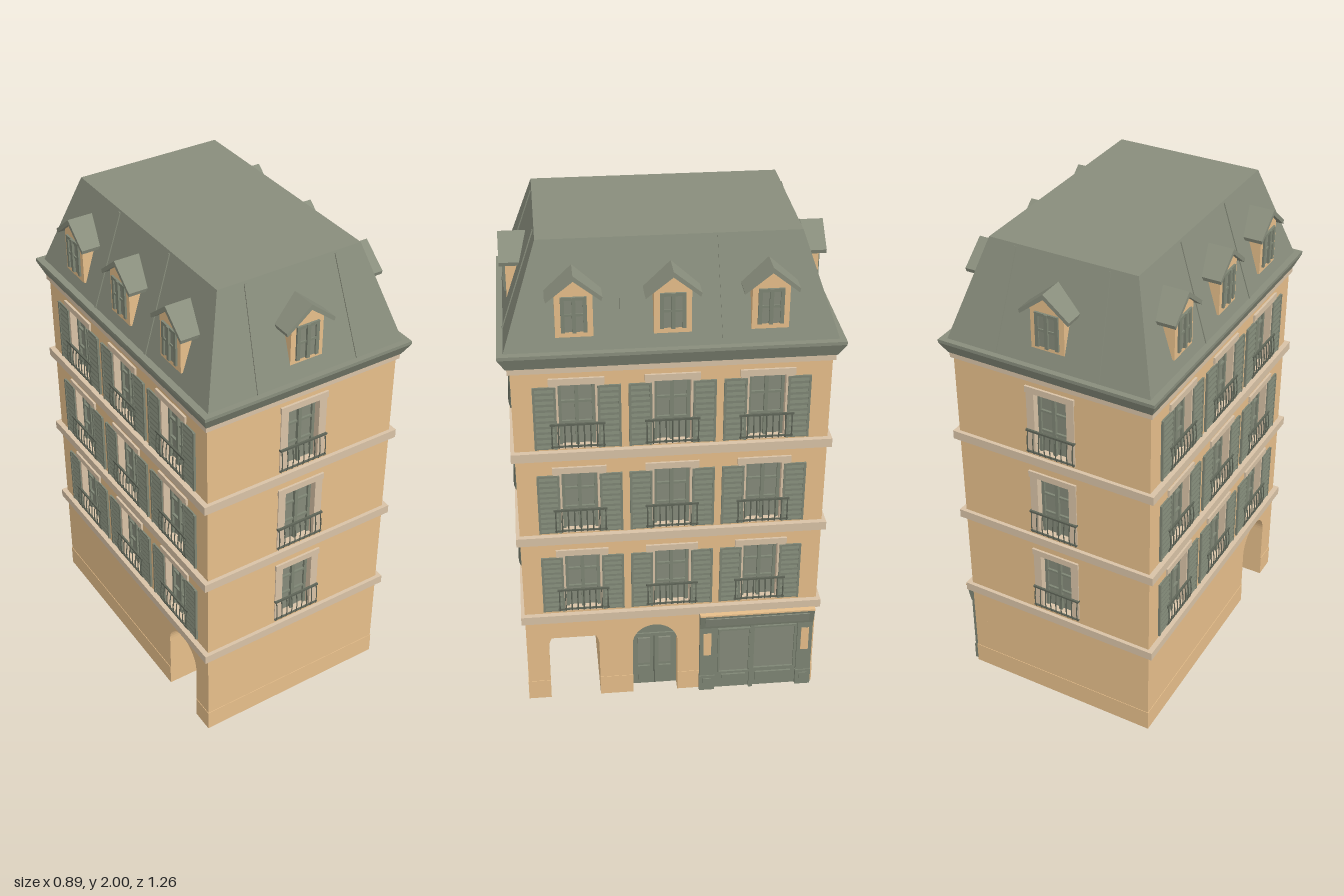
import * as THREE from 'three';

const mat = (name, color) => {
  const m = new THREE.MeshStandardMaterial({ color });
  m.name = name;
  return m;
};

export function createModel() {
  const wall = mat('ochre plaster', 0xe6be8a);
  const stone = mat('pale stone', 0xd8c2a6);
  const zinc = mat('zinc roof', 0x888d7c);
  const green = mat('grey green paint', 0x7e8574);
  const glass = mat('window glass', 0x858a7a);
  const iron = mat('dark iron', 0x5f6558);

  const root = new THREE.Group();
  root.name = 'townhouse';
  const HX = 0.41, HZ = 0.59, SKIN = 0.04, GROUND = 0.42, TOP = 1.56;
  const floors = [0.45, 0.83, 1.21];      // window sill heights
  const WIN_W = 0.07, WIN_H = 0.27;       // half width and height of a window

  const addMesh = (parent, name, geo, m, x = 0, y = 0, z = 0) => {
    const mesh = new THREE.Mesh(geo, m);
    mesh.name = name;
    mesh.position.set(x, y, z);
    parent.add(mesh);
    return mesh;
  };
  const box = (parent, name, m, w, h, d, x, y, z) =>
    addMesh(parent, name, new THREE.BoxGeometry(w, h, d), m, x, y, z);
  const poly = pts => new THREE.Shape(pts.map(p => new THREE.Vector2(...p)));
  const rect = (x0, y0, x1, y1) => [[x0, y0], [x1, y0], [x1, y1], [x0, y1]];
  const extrude = (shape, depth) =>
    new THREE.ExtrudeGeometry(shape, { depth, bevelEnabled: false, curveSegments: 12 });
  // rectangular block whose top and bottom differ in size
  const frustum = (name, m, y0, x0, z0, y1, x1, z1) => {
    const g = new THREE.BoxGeometry(2, y1 - y0, 2), p = g.attributes.position;
    for (let i = 0; i < p.count; i++) {
      const up = p.getY(i) > 0;
      p.setX(i, p.getX(i) * (up ? x1 : x0));
      p.setZ(i, p.getZ(i) * (up ? z1 : z0));
    }
    g.computeVertexNormals();
    return addMesh(root, name, g, m, 0, (y0 + y1) / 2, 0);
  };
  // facade frame: local x along the wall, local z outwards
  const facade = (name, turn) => {
    const g = new THREE.Group();
    g.name = name;
    g.rotation.y = turn;
    root.add(g);
    return g;
  };

  // ---- inner core with the carriage passage left open
  const midH = TOP - GROUND;
  box(root, 'upperCore', wall, 2 * (HX - SKIN), midH, 2 * (HZ - SKIN), 0, GROUND + midH / 2, 0);
  const cx = 0.70;
  box(root, 'groundCore', wall, cx, GROUND, 0.885, 0, GROUND / 2, -0.1475);
  box(root, 'passageFrontWall', wall, cx, GROUND, 0.09, 0, GROUND / 2, 0.545);
  box(root, 'passageCeiling', wall, cx, 0.16, 0.205, 0, 0.34, 0.3975);

  // ---- shared railing parts
  const barGeo = new THREE.TubeGeometry(new THREE.QuadraticBezierCurve3(
    new THREE.Vector3(0, 0, 0), new THREE.Vector3(0, 0.03, 0.014), new THREE.Vector3(0, 0.1, 0)), 5, 0.0026, 4);
  function balcony(parent, x, y, z) {
    const g = new THREE.Group();
    g.name = 'balconyRailing';
    g.position.set(x, y, z);
    parent.add(g);
    for (let i = 0; i < 9; i++) addMesh(g, 'railingBar', barGeo, iron, -0.096 + i * 0.024, 0.004, 0.008);
    box(g, 'topRail', iron, 0.205, 0.008, 0.008, 0, 0.106, 0.009);
    box(g, 'bottomRail', iron, 0.205, 0.006, 0.006, 0, 0.012, 0.009);
    for (const s of [-1, 1]) box(g, 'railReturn', iron, 0.006, 0.007, 0.012, s * 0.1, 0.106, 0.005);
  }

  // ---- casement: glass, frame and glazing bars, sill at y, back at z
  function casement(parent, x, y, z, hw, h, transoms) {
    const g = new THREE.Group();
    g.name = 'casement';
    g.position.set(x, y, z);
    parent.add(g);
    box(g, 'glass', glass, 2 * hw, h, 0.006, 0, h / 2, 0.003);
    for (const s of [-1, 1]) box(g, 'jamb', green, 0.014, h, 0.016, s * (hw - 0.007), h / 2, 0.008);
    box(g, 'headRail', green, 2 * hw, 0.012, 0.016, 0, h - 0.006, 0.008);
    box(g, 'centreMullion', green, 0.014, h, 0.02, 0, h / 2, 0.01);
    for (const t of transoms) box(g, 'glazingBar', green, 2 * hw, 0.009, 0.015, 0, h * t, 0.0075);
  }

  // ---- louvred shutter
  function shutter(parent, x, y, z) {
    const g = new THREE.Group();
    g.name = 'shutter';
    g.position.set(x, y, z);
    parent.add(g);
    box(g, 'shutterPanel', green, 0.086, 0.262, 0.006, 0, 0.131, 0.003);
    for (const s of [-1, 1]) box(g, 'shutterStile', green, 0.009, 0.262, 0.009, s * 0.0385, 0.131, 0.0045);
    for (let i = 0; i < 11; i++) {
      const slat = box(g, 'slat', green, 0.07, 0.014, 0.003, 0, 0.014 + i * 0.0234, 0.006);
      slat.rotation.x = -0.3;
    }
  }

  // ---- one upper facade with recessed windows; the end windows have a stone lining
  const lining = outer => {
    const s = poly(rect(-outer, 0, outer, WIN_H + 0.005));
    s.holes.push(poly(rect(-WIN_W + 0.002, 0.002, WIN_W - 0.002, WIN_H - 0.002)));
    return extrude(s, SKIN + 0.004);
  };
  const ringGeo = lining(0.1);
  function upperFacade(f, dist, halfW, centres, withShutters) {
    const shape = poly(rect(-halfW, GROUND, halfW, TOP));
    for (const y of floors) for (const c of centres)
      shape.holes.push(poly(rect(c - WIN_W, y, c + WIN_W, y + WIN_H)));
    addMesh(f, 'upperWall', extrude(shape, SKIN), wall, 0, 0, dist - SKIN);
    for (const y of floors) for (const c of centres) {
      casement(f, c, y, dist - SKIN, WIN_W, WIN_H, [0.36, 0.68]);
      box(f, 'lintel', stone, 0.205, 0.026, 0.01, c, y + WIN_H + 0.014, dist + 0.004);
      addMesh(f, 'windowSurround', ringGeo, stone, c, y, dist - SKIN);
      balcony(f, c, y, dist);
      if (withShutters) for (const s of [-1, 1]) shutter(f, c + s * 0.119, y, dist);
    }
  }

  // ---- dormer window
  const dormerBody = extrude(poly([[-0.068, 1.67], [0.068, 1.67], [0.068, 1.845], [0, 1.9], [-0.068, 1.845]]), 0.14);
  const dormerRoof = extrude(poly([[-0.098, 1.815], [0, 1.893], [0.098, 1.815], [0.102, 1.83], [0, 1.914], [-0.102, 1.83]]), 0.17);
  function dormer(f, c, dist, overhang) {
    const g = new THREE.Group();
    g.name = 'dormer';
    g.position.set(c, 0, dist);
    f.add(g);
    addMesh(g, 'dormerBody', dormerBody, wall, 0, 0, -0.14);
    addMesh(g, 'dormerRoof', dormerRoof, zinc, 0, 0, overhang - 0.17);
    casement(g, 0, 1.69, -0.008, 0.047, 0.138, [0.5]);
    box(g, 'dormerGlass', glass, 0.09, 0.134, 0.002, 0, 1.758, 0.001);
  }

  const sideCols = [-0.352, 0, 0.352];
  const sides = [['frontFacade', 0, HZ, HX - SKIN, [0]], ['rightFacade', Math.PI / 2, HX, HZ, sideCols],
    ['backFacade', Math.PI, HZ, HX - SKIN, [0]], ['leftFacade', -Math.PI / 2, HX, HZ, sideCols]];
  const F = sides.map(([name, turn, dist, halfW, cols]) => {
    const f = facade(name, turn), long = cols.length > 1;
    upperFacade(f, dist, halfW, cols, long);
    for (const c of cols) dormer(f, c, dist - 0.001, long ? 0.018 : 0.022);
    // standing seams on the mansard slope
    const b = long ? 0.418 : 0.61, t = long ? 0.298 : 0.477;
    for (const s of [-1, 1]) {
      const seam = box(f, 'roofSeam', zinc, 0.01, 0.97 * Math.hypot(0.385, b - t), 0.01, s * (long ? 0.18 : 0.2), 1.805, (b + t) / 2);
      seam.rotation.x = -Math.atan2(b - t, 0.385);
      seam.rotation.z = s * (long ? 0.03 : 0.06);
    }
    return f;
  });

  // ---- ground floor side walls with arched openings
  const passage = { c: 0.3975, r: 0.1025, spring: 0.26 }, door = { c: -0.067, r: 0.092, spring: 0.255 };
  function archPath(shape, a) {
    shape.lineTo(a.c - a.r, 0);
    shape.lineTo(a.c - a.r, a.spring);
    shape.absarc(a.c, a.spring, a.r, Math.PI, 0, true);
    shape.lineTo(a.c + a.r, 0);
  }
  function groundWall(f, arches) {
    const s = new THREE.Shape();
    s.moveTo(-HZ, 0);
    arches.forEach(a => archPath(s, a));
    s.lineTo(HZ, 0);
    s.lineTo(HZ, GROUND);
    s.lineTo(-HZ, GROUND);
    addMesh(f, 'groundWall', extrude(s, 0.06), wall, 0, 0, HX - 0.06);
    const edges = [-HZ - 0.002, ...arches.flatMap(a => [a.c - a.r, a.c + a.r]), HZ + 0.002];
    for (let i = 0; i < edges.length; i += 2)
      box(f, 'plinth', wall, edges[i + 1] - edges[i], 0.09, 0.004, (edges[i] + edges[i + 1]) / 2, 0.045, HX);
  }
  groundWall(F[1], [{ ...passage, c: -passage.c }, door]);
  groundWall(F[3], [passage]);
  for (const f of [F[0], F[2]]) box(f, 'plinth', wall, 2 * HX, 0.09, 0.004, 0, 0.045, HZ);

  // ---- arched double door
  const R = F[1], leaf = new THREE.Shape();
  leaf.moveTo(door.c - door.r, 0);
  archPath(leaf, door);
  addMesh(R, 'archedDoor', extrude(leaf, 0.012), green, 0, 0, 0.35);
  box(R, 'doorTransom', green, 2 * door.r, 0.014, 0.018, door.c, 0.262, 0.36);
  box(R, 'doorGap', iron, 0.004, 0.255, 0.003, door.c, 0.128, 0.363);
  for (const s of [-1, 1]) {
    box(R, 'doorPane', glass, 0.05, 0.13, 0.008, door.c + s * 0.043, 0.18, 0.366);
    box(R, 'doorPanel', green, 0.05, 0.075, 0.008, door.c + s * 0.043, 0.06, 0.366);
  }

  // ---- shopfront
  const shop = new THREE.Group();
  shop.name = 'shopfront';
  shop.position.set(0.348, 0, HX);
  R.add(shop);
  box(shop, 'shopBacking', green, 0.465, 0.4, 0.008, 0, 0.2, 0.004);
  // signboard leaning outwards at the top, under a plaster capping
  const fascia = extrude(poly([[0, 0.325], [0.02, 0.325], [0.038, 0.398], [0, 0.398]]), 0.468);
  fascia.rotateY(-Math.PI / 2);
  addMesh(shop, 'fascia', fascia, green, 0.234);
  box(shop, 'fasciaCapping', wall, 0.47, 0.007, 0.041, 0, 0.4015, 0.0205);
  const panel = box(shop, 'fasciaPanel', glass, 0.425, 0.045, 0.006, 0, 0.362, 0.03);
  panel.rotation.x = Math.atan2(0.018, 0.073);
  for (const s of [-1, 1]) {
    box(shop, 'pilaster', green, 0.062, 0.33, 0.018, s * 0.202, 0.165, 0.009);
    box(shop, 'pilasterInset', wall, 0.032, 0.112, 0.004, s * 0.202, 0.24, 0.0185);
    box(shop, 'pilasterBase', green, 0.064, 0.075, 0.022, s * 0.202, 0.0375, 0.011);
    box(shop, 'pilasterBasePanel', green, 0.034, 0.045, 0.008, s * 0.202, 0.04, 0.0225);
  }
  // shop door and display window, each a raised frame around a pane
  for (const [name, x, w, y0, y1] of [['shopDoor', -0.09, 0.12, 0.09, 0.305], ['displayWindow', 0.075, 0.165, 0.1, 0.31]]) {
    const rim = poly(rect(-w / 2 - 0.008, y0 - 0.008, w / 2 + 0.008, y1 + 0.008));
    rim.holes.push(poly(rect(-w / 2, y0, w / 2, y1)));
    addMesh(shop, name + 'Frame', extrude(rim, 0.012), green, x, 0, 0.007);
    box(shop, name + 'Pane', glass, w, y1 - y0, 0.003, x, (y0 + y1) / 2, 0.009);
  }
  box(shop, 'shopDoorPanel', green, 0.1, 0.05, 0.01, -0.09, 0.045, 0.011);
  box(shop, 'stallRiser', green, 0.15, 0.055, 0.01, 0.075, 0.045, 0.011);
  box(shop, 'shopMullion', green, 0.016, 0.33, 0.02, -0.018, 0.165, 0.01);

  // ---- stone bands between the floors, cornice and mansard roof
  for (const y of [0.42, 0.803, 1.184]) box(root, 'stoneBand', stone, 0.862, 0.036, 1.21, 0, y, 0);
  box(root, 'corniceMoulding', stone, 0.84, 0.025, 1.2, 0, 1.545, 0);
  frustum('eaves', zinc, 1.555, 0.422, 0.604, 1.605, 0.444, 0.632);
  frustum('eavesLip', zinc, 1.605, 0.444, 0.632, 1.618, 0.444, 0.632);
  frustum('mansardRoof', zinc, 1.615, 0.418, 0.61, 2, 0.298, 0.477);

  root.position.set(-0.006, 0, -0.003);
  const model = new THREE.Group();
  model.name = 'building';
  model.add(root);
  return model;
}
